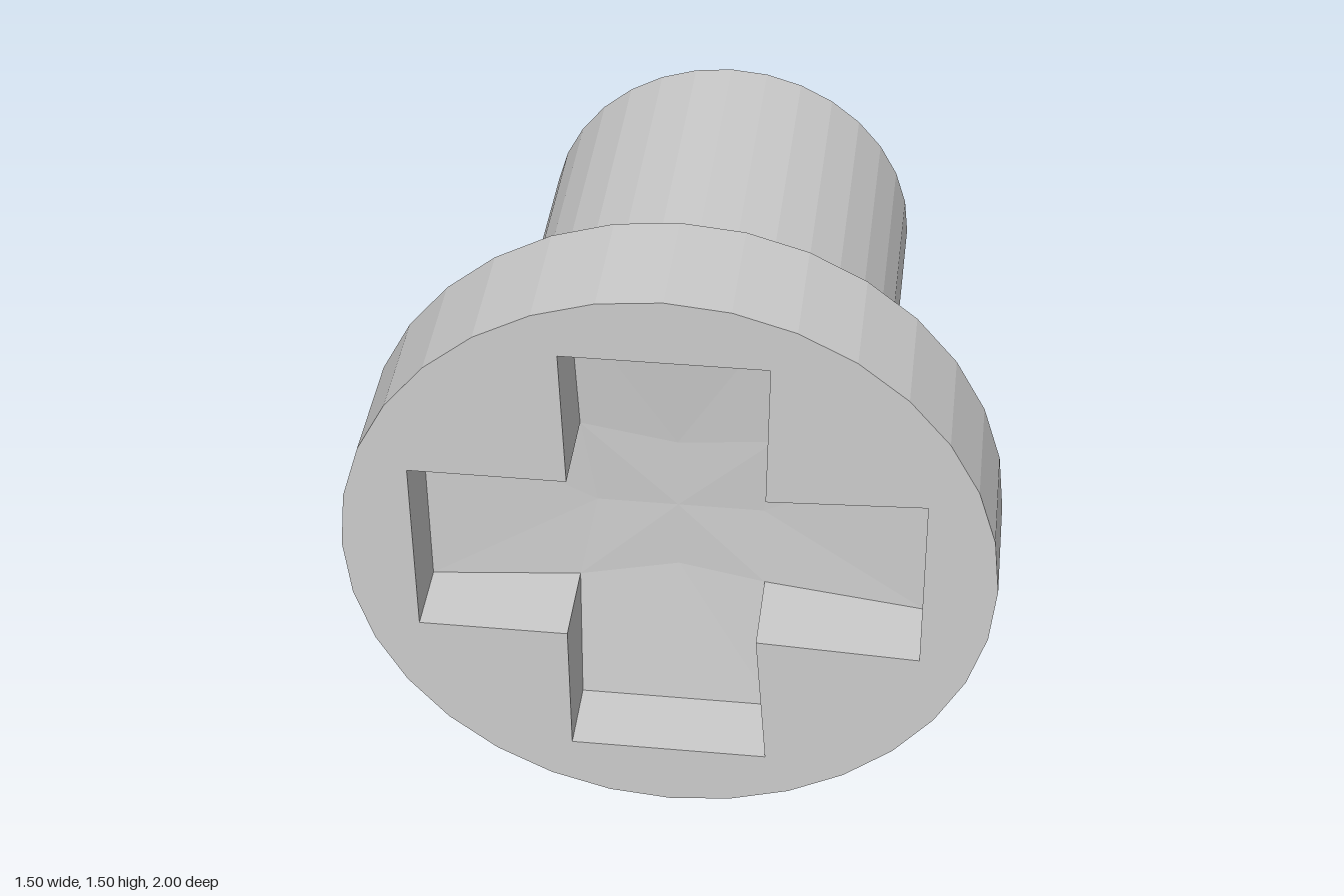
import * as THREE from 'three';

const SIDES = 32, HEAD_R = 0.75, SHAFT_R = 0.467;
const HEAD_BACK = 0.705, SHAFT_END = -0.38;

// Cross recess, one entry per arm, counter-clockwise from the front, relative to the axis:
// [inner corner, outer corner, outer corner, floor midpoint, depth at the outer end]
const ARMS = [
  [[0.205, -0.213], [0.583, -0.23], [0.583, 0.233], [0.2, 0], 0.175],
  [[0.223, 0.217], [0.23, 0.588], [-0.232, 0.588], [0, 0.187], 0.18],
  [[-0.223, 0.234], [-0.584, 0.234], [-0.584, -0.23], [-0.19, 0], 0.175],
  [[-0.235, -0.23], [-0.234, -0.583], [0.23, -0.583], [0, -0.182], 0.175],
];
const CORNER_DEPTH = 0.21, CENTRE_DEPTH = 0.22;

export function createModel() {
  const group = new THREE.Group();
  const axis = new THREE.Group();
  axis.name = 'screw';
  axis.position.y = HEAD_R;
  group.add(axis);

  const material = new THREE.MeshStandardMaterial({ color: 0xcccccc, flatShading: true });
  const add = (name, geometry) => {
    const mesh = new THREE.Mesh(geometry, material);
    mesh.name = name;
    axis.add(mesh);
  };
  // Open tube section along z
  const section = (name, rFront, rBack, zFront, zBack) => {
    const g = new THREE.CylinderGeometry(rFront, rBack, zFront - zBack, SIDES, 1, true);
    g.rotateX(Math.PI / 2).translate(0, 0, (zFront + zBack) / 2);
    add(name, g);
  };

  section('headRim', HEAD_R, HEAD_R, 1, HEAD_BACK);
  section('shaft', SHAFT_R, SHAFT_R, HEAD_BACK, SHAFT_END);

  // Pointed tip
  const tip = new THREE.ConeGeometry(SHAFT_R, 1 + SHAFT_END, SIDES, 1, true);
  tip.rotateX(-Math.PI / 2).translate(0, 0, (SHAFT_END - 1) / 2);
  add('tip', tip);

  // Underside of the head
  const under = new THREE.RingGeometry(SHAFT_R, HEAD_R, SIDES);
  under.rotateY(Math.PI).translate(0, 0, HEAD_BACK);
  add('headUnderside', under);

  // Front of the head with the cross cut out
  const disc = new THREE.Shape();
  for (let i = 0; i < SIDES; i++) {
    const a = (i / SIDES) * Math.PI * 2;
    const x = HEAD_R * Math.cos(a), y = HEAD_R * Math.sin(a);
    if (i === 0) disc.moveTo(x, y);
    else disc.lineTo(x, y);
  }
  disc.closePath();
  const outline = ARMS.flatMap((arm) => arm.slice(0, 3));
  disc.holes.push(new THREE.Path(outline.map(([x, y]) => new THREE.Vector2(x, y))));
  add('headFace', new THREE.ShapeGeometry(disc).translate(0, 0, 1));

  // Recess walls and dished floor
  const walls = [], floor = [];
  const at = ([x, y], depth) => [x, y, 1 - depth];
  const tri = (list, a, b, c) => list.push(...a, ...b, ...c);
  const centre = at([0, 0], CENTRE_DEPTH);
  ARMS.forEach(([corner, outA, outB, mid, depth], i) => {
    const next = ARMS[(i + 1) % 4][0];
    const c0 = at(corner, CORNER_DEPTH), c1 = at(next, CORNER_DEPTH);
    const o0 = at(outA, depth), o1 = at(outB, depth);
    const m = at(mid, CENTRE_DEPTH);
    tri(floor, m, c0, o0);
    tri(floor, m, o0, o1);
    tri(floor, m, o1, c1);
    tri(floor, centre, c0, m);
    tri(floor, centre, m, c1);
    for (const [a, b] of [[c0, o0], [o0, o1], [o1, c1]]) {
      const aFront = at(a, 0), bFront = at(b, 0);
      tri(walls, aFront, bFront, b);
      tri(walls, aFront, b, a);
    }
  });
  const build = (list) => {
    const g = new THREE.BufferGeometry();
    g.setAttribute('position', new THREE.Float32BufferAttribute(list, 3));
    g.computeVertexNormals();
    return g;
  };
  add('recessWalls', build(walls));
  add('recessFloor', build(floor));

  return group;
}
